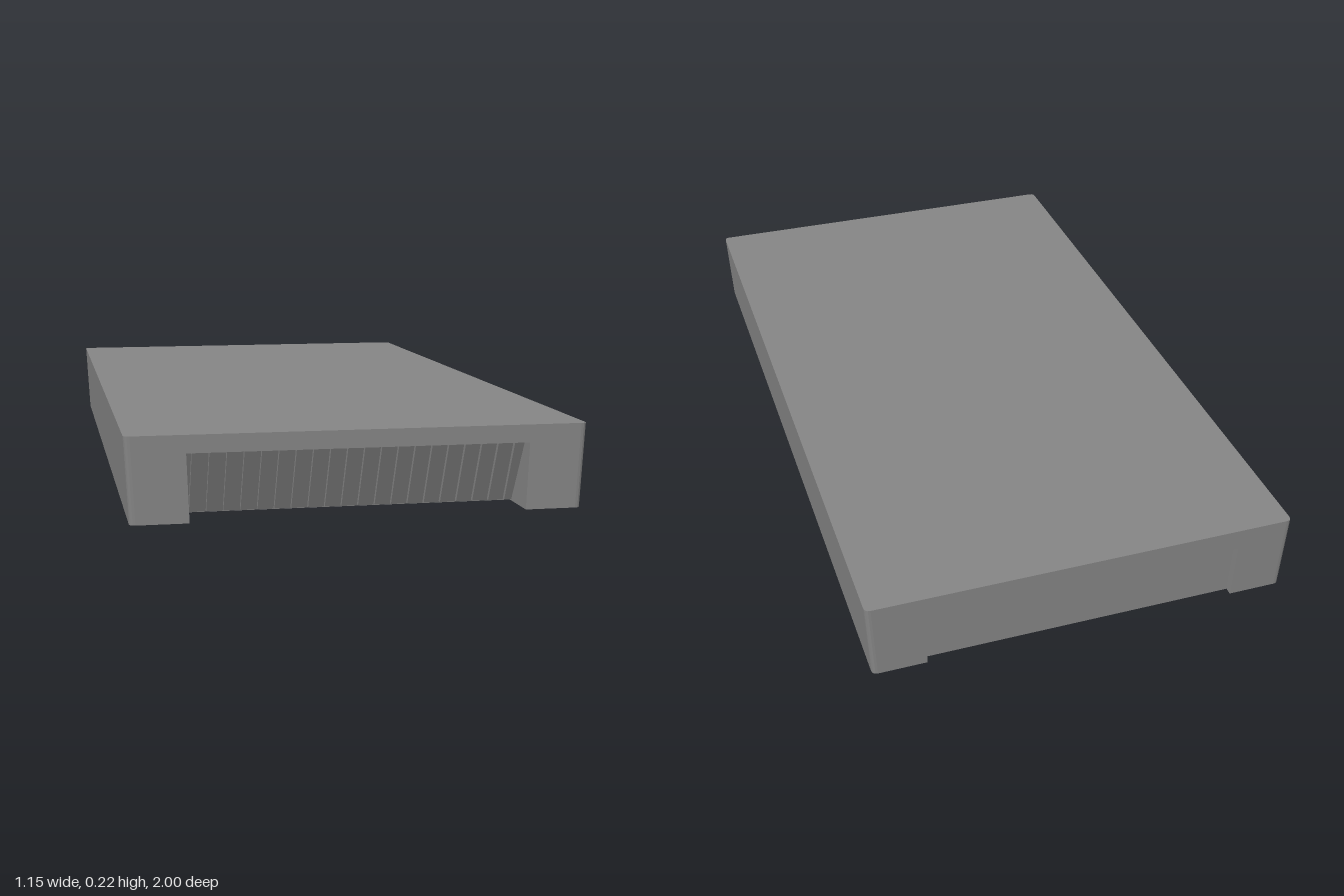
import * as THREE from 'three';

const HEIGHT = 0.215, CEIL = 0.17, IN = 0.43;
const SLOTS = [[-0.265, -0.14], [0.33, 0.47], [0.62, 0.74]];
const POCKET = [-0.77, -0.28];

// Outline seen from above (x, z): rounded corners, optional front and back notches
function footprint(frontZ, backZ) {
  const w = 0.577, r = 0.015, s = new THREE.Shape();
  s.moveTo(-w + r, -1);
  if (backZ > -1) for (const [x, z] of [[-IN, -1], [-IN, backZ], [IN, backZ], [IN, -1]]) s.lineTo(x, z);
  s.lineTo(w - r, -1);
  s.quadraticCurveTo(w, -1, w, -1 + r);
  s.lineTo(w, 1 - r);
  s.quadraticCurveTo(w, 1, w - r, 1);
  if (frontZ < 1) for (const [x, z] of [[IN, 1], [IN, frontZ], [-IN, frontZ], [-IN, 1]]) s.lineTo(x, z);
  s.lineTo(-w + r, 1);
  s.quadraticCurveTo(-w, 1, -w, 1 - r);
  s.lineTo(-w, -1 + r);
  s.quadraticCurveTo(-w, -1, -w + r, -1);
  return s;
}

function rectHole(x0, x1, z0, z1) {
  return new THREE.Path([[x0, z0], [x0, z1], [x1, z1], [x1, z0]].map(p => new THREE.Vector2(...p)));
}

// Horizontal slice of the case, narrowing slightly toward the bottom
function layer(shape, y0, y1) {
  const g = new THREE.ExtrudeGeometry(shape, { depth: y1 - y0, bevelEnabled: false, curveSegments: 4 });
  g.rotateX(Math.PI / 2).translate(0, y1, 0);
  const p = g.attributes.position;
  for (let i = 0; i < p.count; i++) p.setX(i, p.getX(i) * (0.98 + 0.02 * p.getY(i) / HEIGHT));
  g.computeVertexNormals();
  return g;
}

// Prism along x from a (z, y) profile
function prism(profile, xCentre, width) {
  const s = new THREE.Shape(profile.map(p => new THREE.Vector2(...p)));
  return new THREE.ExtrudeGeometry(s, { depth: width, bevelEnabled: false })
    .rotateY(-Math.PI / 2).translate(xCentre + width / 2, 0, 0);
}

export function createModel() {
  const model = new THREE.Group();
  const grey = new THREE.MeshStandardMaterial({ color: 0x858585 });
  grey.name = 'caseGrey';
  const add = (name, geometry, parent = model) => {
    const m = new THREE.Mesh(geometry, grey);
    m.name = name;
    parent.add(m);
    return m;
  };
  const withOpenings = shape => {
    for (const [a, b] of [POCKET, ...SLOTS]) shape.holes.push(rectHole(-IN, IN, a, b));
    return shape;
  };

  // Case: solid lid over hollowed slices
  add('lid', layer(footprint(1, -1), CEIL, HEIGHT));
  add('upperWalls', layer(withOpenings(footprint(0.88, -1)), 0.155, CEIL));
  add('walls', layer(withOpenings(footprint(0.88, -0.98)), 0.012, 0.155));

  // Underside skin with shallow seams and a row of small vents
  const skin = withOpenings(footprint(0.88, -0.98));
  const solidBands = [[-0.975, -0.775], [-0.135, 0.325], [0.475, 0.615], [0.745, 0.875]];
  for (const [a, b] of solidBands)
    for (const x of [-0.25, 0.25]) skin.holes.push(rectHole(x - 0.004, x + 0.004, a, b));
  for (let i = 0; i < 6; i++) {
    const x = -0.34 + i * 0.136;
    skin.holes.push(rectHole(x - 0.025, x + 0.025, -0.825, -0.8));
  }
  add('undersideSkin', layer(skin, 0, 0.012));

  // Ribbed front wall, leaning back toward the bottom
  const front = new THREE.Group();
  front.name = 'ribbedFront';
  model.add(front);
  add('slopedWall', prism([[0.87, 0.003], [0.89, 0.003], [0.965, CEIL], [0.87, CEIL]], 0, 2 * IN), front);
  for (let i = 0; i < 20; i++) {
    const x = -0.405 + i * 0.81 / 19;
    add('frontRib', prism([[0.88, 0.006], [0.903, 0.006], [0.978, CEIL], [0.95, CEIL]], x, 0.014), front);
  }

  // Ribs standing along the forward wall of each underside slot
  for (const [, z] of SLOTS) {
    const ribs = new THREE.Group();
    ribs.name = 'slotRibs';
    model.add(ribs);
    for (let i = 0; i < 12; i++) {
      const x = -0.385 + i * 0.07;
      add('slotRib', prism([[z - 0.045, 0.012], [z, 0.012], [z, CEIL], [z - 0.045, CEIL]], x, 0.02), ribs);
    }
  }
  return model;
}
